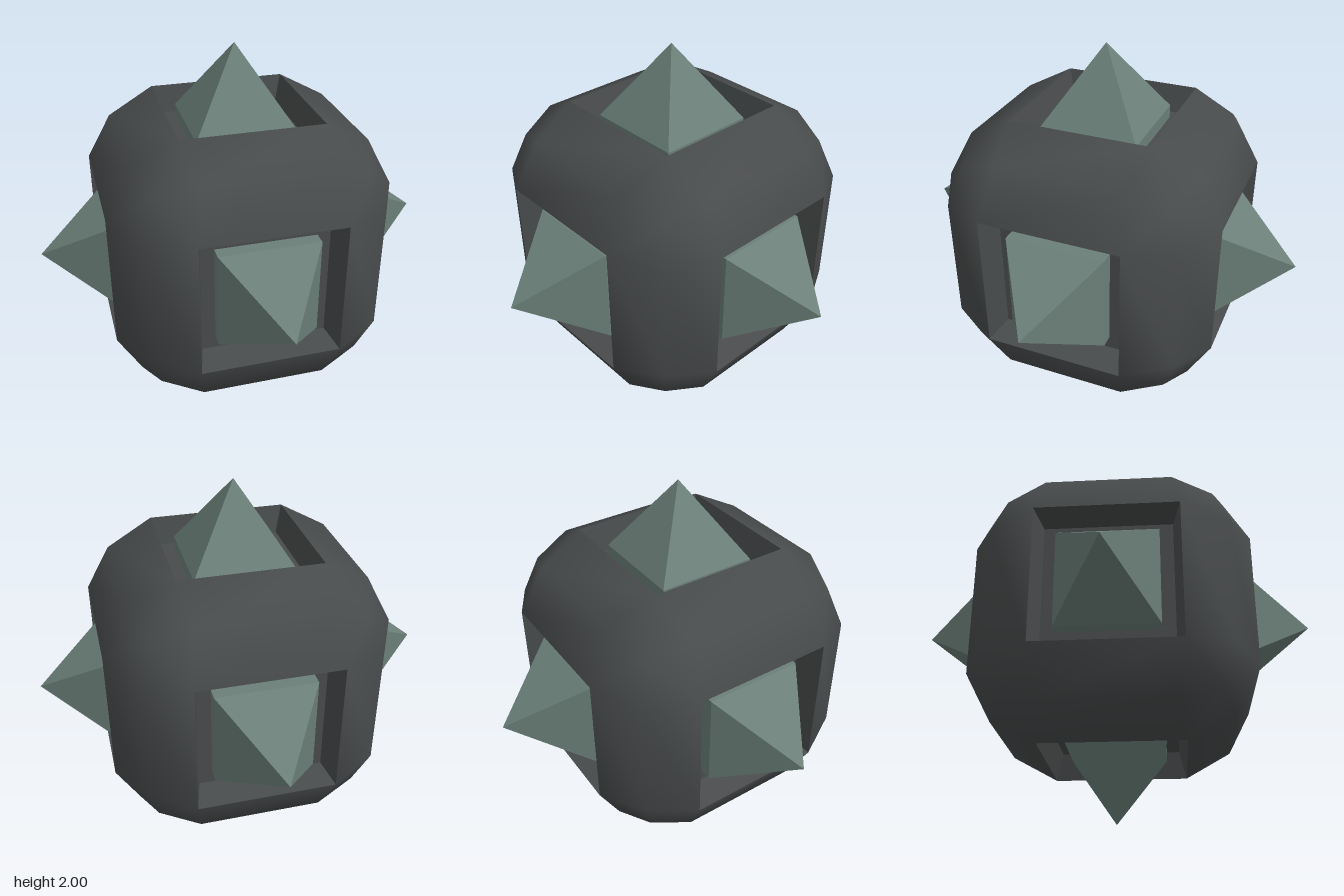
import * as THREE from 'three';
import { mergeGeometries, mergeVertices } from 'three/addons/utils/BufferGeometryUtils.js';

const R = 0.695, RIM = 0.345;        // body half size, half width of each socket opening
const EDGE = 0.575, END = 0.31;      // bevel edge offset, half length of the straight edge
const CORNER = 0.51;                 // rounded cube corner
const FLOOR = 0.56, FLOOR_HALF = 0.31;
const SPIKE = 0.245, SPIKE_BASE = 0.626, TIP = 1;

// One geometry from a list of four-cornered faces (counter-clockwise)
function quads(list) {
  const pos = list.flatMap(([a, b, c, d]) => [a, b, c, a, c, d].flat());
  const g = new THREE.BufferGeometry();
  g.setAttribute('position', new THREE.Float32BufferAttribute(pos, 3));
  return g;
}

// Repeat a geometry four times around the z axis
function around(g) {
  return mergeGeometries([0, 1, 2, 3].map(i => g.clone().rotateZ(i * Math.PI / 2)));
}

// Rotations that carry the +z side to all six sides
const sides = [
  ['front', 0, 0], ['left', 0, 1], ['back', 0, 2], ['right', 0, 3], ['top', -1, 0], ['bottom', 1, 0],
].map(([name, x, y]) => ({ name, rot: new THREE.Euler(x * Math.PI / 2, y * Math.PI / 2, 0) }));

export function createModel() {
  const model = new THREE.Group();
  model.name = 'spikedCube';
  const core = new THREE.Group();
  core.name = 'core';
  core.position.y = 1;
  model.add(core);

  const dark = new THREE.MeshStandardMaterial({ color: 0x484b4c });
  const darkFlat = new THREE.MeshStandardMaterial({ color: 0x484b4c, flatShading: true });
  const green = new THREE.MeshStandardMaterial({ color: 0x6b7f78, flatShading: true });

  // Rounded shell: bevel strips and corner patches around each opening, smooth across all sides
  const bevel = around(quads([
    [[-RIM, RIM, R], [RIM, RIM, R], [END, EDGE, EDGE], [-END, EDGE, EDGE]],
    [[RIM, RIM, R], [EDGE, END, EDGE], [CORNER, CORNER, CORNER], [END, EDGE, EDGE]],
  ]));
  const shellGeo = mergeVertices(mergeGeometries(sides.map(s =>
    bevel.clone().applyMatrix4(new THREE.Matrix4().makeRotationFromEuler(s.rot)))), 1e-3);
  shellGeo.computeVertexNormals();
  const shell = new THREE.Mesh(shellGeo, dark);
  shell.name = 'shell';
  core.add(shell);

  // Socket: sloping walls and a flat floor
  const f = FLOOR_HALF;
  const walls = around(quads([[[-f, f, FLOOR], [f, f, FLOOR], [RIM, RIM, R], [-RIM, RIM, R]]]));
  const floor = quads([[[-f, -f, FLOOR], [f, -f, FLOOR], [f, f, FLOOR], [-f, f, FLOOR]]]);
  const socketGeo = mergeGeometries([walls, floor]);
  socketGeo.computeVertexNormals();

  // Spike: four-sided point on a short square foot
  const height = TIP - SPIKE_BASE, foot = SPIKE_BASE - FLOOR;
  const pointGeo = new THREE.ConeGeometry(SPIKE * Math.SQRT2, height, 4, 1, true)
    .rotateY(Math.PI / 4).rotateX(Math.PI / 2).translate(0, 0, SPIKE_BASE + height / 2);
  const footGeo = new THREE.BoxGeometry(SPIKE * 2, SPIKE * 2, foot)
    .translate(0, 0, FLOOR + foot / 2);
  const spikeGeo = mergeGeometries([pointGeo, footGeo]);

  for (const { name, rot } of sides) {
    const side = new THREE.Group();
    side.name = name + 'Side';
    side.rotation.copy(rot);
    const socket = new THREE.Mesh(socketGeo, darkFlat);
    socket.name = name + 'Socket';
    const spike = new THREE.Mesh(spikeGeo, green);
    spike.name = name + 'Spike';
    side.add(socket, spike);
    core.add(side);
  }
  return model;
}
